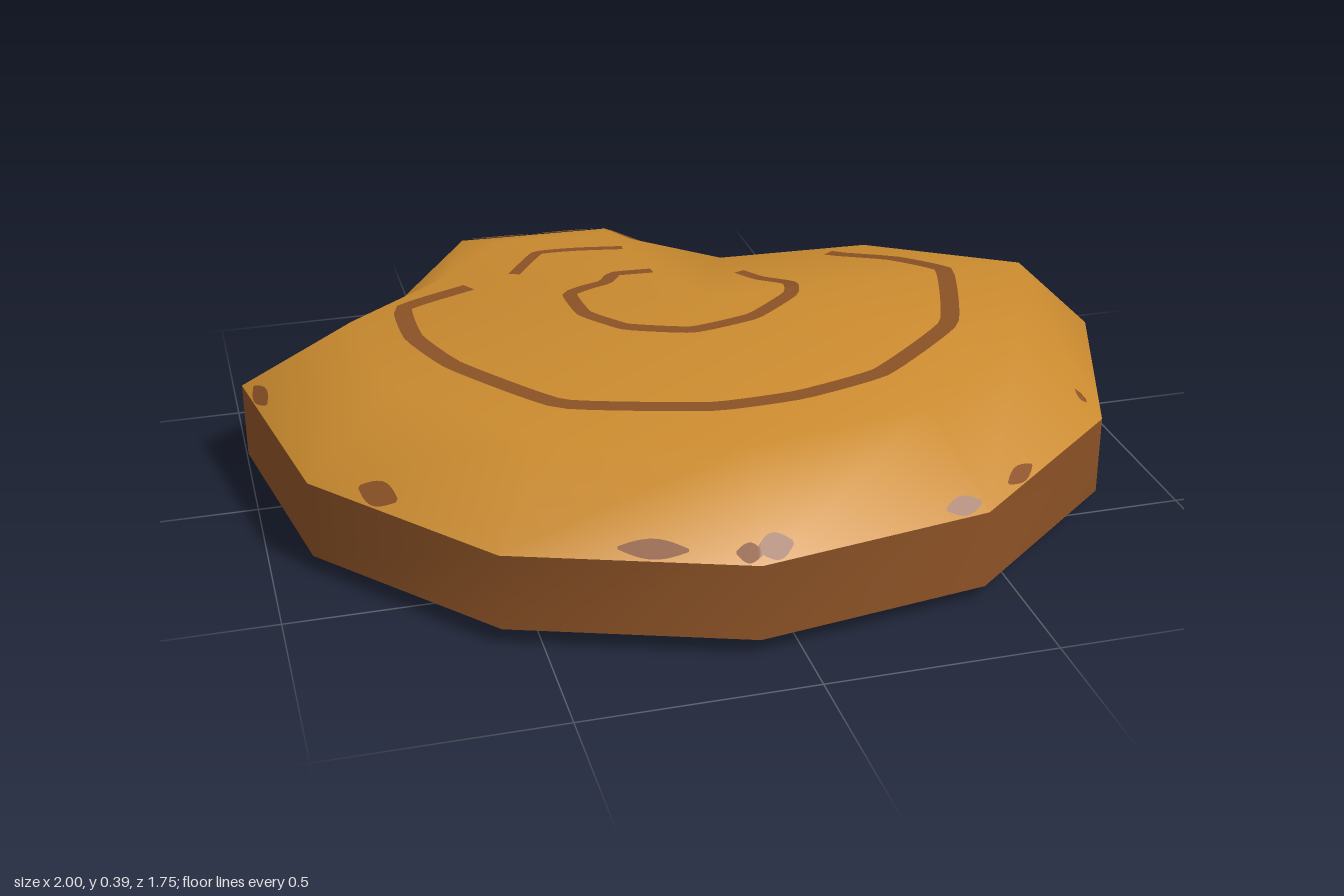
import * as THREE from 'three';

// Each corner of the outline: [x, y, z], listed counterclockwise from above.
const base = [
  [-1, .035, -.21], [-.91, .035, .30], [-.58, .04, .70], [-.09, .04, .875], [.42, .035, .79], [.82, .03, .46],
  [1, .03, -.03], [.72, 0, -.50], [.28, .07, -.55], [-.01, .07, -.88], [-.28, .10, -.77], [-.60, .13, -.47],
];
const rim = [
  [-1, .21, -.21], [-.91, .21, .30], [-.58, .21, .70], [-.09, .21, .875], [.42, .21, .79], [.82, .21, .46],
  [1, .21, -.03], [.72, .195, -.495], [.21, .255, -.44], [-.015, .27, -.78], [-.39, .278, -.775], [-.60, .26, -.47],
];
const crown = [
  [-.75, .37, -.14], [-.72, .382, .24], [-.46, .382, .56], [-.07, .382, .70], [.34, .382, .63], [.66, .382, .37],
  [.82, .382, -.04], [.57, .30, -.43], [.17, .345, -.34], [-.05, .315, -.64], [-.32, .32, -.64], [-.50, .36, -.36],
];
const N = rim.length;

// Index helpers: a band between two loops, and a fan closing a loop
const band = (a, b) => {
  const out = [];
  for (let i = 0; i < N; i++) {
    const j = (i + 1) % N;
    out.push(a + i, a + j, b + j, a + i, b + j, b + i);
  }
  return out;
};
const fan = (a, c, down) => {
  const out = [];
  for (let i = 0; i < N; i++) {
    const j = (i + 1) % N;
    out.push(c, ...(down ? [a + j, a + i] : [a + i, a + j]));
  }
  return out;
};
function surface(points, index) {
  const g = new THREE.BufferGeometry();
  g.setAttribute('position', new THREE.Float32BufferAttribute(points.flat(), 3));
  g.setIndex(index);
  g.computeVertexNormals();
  return g;
}

const topPoints = [...rim, ...crown, [.05, .382, -.04]];
const topIndex = [...band(0, N), ...fan(N, 2 * N, false)];

// Height of the glazed top at a given x, z
function heightAt(x, z) {
  for (let t = 0; t < topIndex.length; t += 3) {
    const [a, b, c] = [0, 1, 2].map((k) => topPoints[topIndex[t + k]]);
    const d = (b[2] - c[2]) * (a[0] - c[0]) + (c[0] - b[0]) * (a[2] - c[2]);
    const u = ((b[2] - c[2]) * (x - c[0]) + (c[0] - b[0]) * (z - c[2])) / d;
    const v = ((c[2] - a[2]) * (x - c[0]) + (a[0] - c[0]) * (z - c[2])) / d;
    if (u >= -1e-6 && v >= -1e-6 && u + v <= 1 + 1e-6) return u * a[1] + v * b[1] + (1 - u - v) * c[1];
  }
  return .2;
}

// Thin painted strip lying on the top; blob = true tapers both ends
function strip(path, width, blob = false) {
  const curve = new THREE.CatmullRomCurve3(path.map(([x, z]) => new THREE.Vector3(x, 0, z)), false, 'catmullrom', .2);
  const n = blob ? 12 : 70, pts = [], idx = [];
  for (let i = 0; i <= n; i++) {
    const t = i / n, p = curve.getPointAt(t), d = curve.getTangentAt(t);
    const w = width / 2 * (blob ? .15 + .85 * Math.sin(Math.PI * t) : 1);
    for (const s of [1, 0, -1]) {
      const x = p.x + d.z * w * s, z = p.z - d.x * w * s;
      pts.push([x, heightAt(x, z) + .004, z]);
    }
    if (i < n) for (const k of [0, 1]) {
      const a = i * 3 + k;
      idx.push(a, a + 1, a + 3, a + 1, a + 4, a + 3);
    }
  }
  return surface(pts, idx);
}

export function createModel() {
  const group = new THREE.Group();
  const gold = new THREE.MeshStandardMaterial({ color: 0xcb8b2f });
  const brown = new THREE.MeshStandardMaterial({ color: 0x8c5226, side: THREE.DoubleSide });
  gold.name = 'golden glaze';
  brown.name = 'brown crust';
  const add = (name, geometry, material) => {
    const mesh = new THREE.Mesh(geometry, material);
    mesh.name = name;
    group.add(mesh);
  };

  // Body: crust wall, underside and bevelled top
  add('crustWall', surface([...base, ...rim], band(0, N)), brown);
  add('underside', surface([...base, [0, .035, 0]], fan(0, N, true)), brown);
  add('glazedTop', surface(topPoints, topIndex), gold);

  // Broken spiral lines
  add('outerSwirl', strip([[-.46, -.265], [-.625, -.18], [-.63, 0], [-.57, .18], [-.39, .42], [-.09, .515], [.1, .51],
    [.30, .45], [.53, .25], [.63, -.04], [.57, -.22], [.45, -.355]], .042), brown);
  add('upperSwirl', strip([[-.34, -.33], [-.25, -.50], [-.15, -.505], [-.04, -.485]], .028), brown);
  add('innerSwirl', strip([[-.02, -.27], [-.11, -.27], [-.15, -.205], [-.245, -.15], [-.24, -.02], [-.17, .08],
    [-.03, .135], [.12, .10], [.24, 0], [.26, -.08], [.18, -.215]], .034), brown);

  // Uneven crust edge: [rim corner, start, end] along that side, width
  const patches = [[0, .1, .3, .03], [1, .25, .45, .04], [2, .45, .72, .03], [2, .9, 1, .03], [3, 0, .15, .04],
    [3, .82, .98, .03], [4, .2, .4, .025], [7, .05, .3, .03], [8, .05, .98, .04], [9, .1, .5, .03], [9, .55, .95, .03]];
  for (const [i, s, e, w] of patches) {
    const a = rim[i], b = rim[(i + 1) % N];
    const len = Math.hypot(b[0] - a[0], b[2] - a[2]);
    const inX = (b[2] - a[2]) / len * w * .52, inZ = -(b[0] - a[0]) / len * w * .52;
    const at = (t) => [a[0] + (b[0] - a[0]) * t + inX, a[2] + (b[2] - a[2]) * t + inZ];
    add('crustPatch', strip([at(s), at((s + e) / 2), at(e)], w, true), brown);
  }
  add('crustSpot', strip([[.765, .425], [.78, .435], [.79, .43]], .025, true), brown);
  return group;
}
